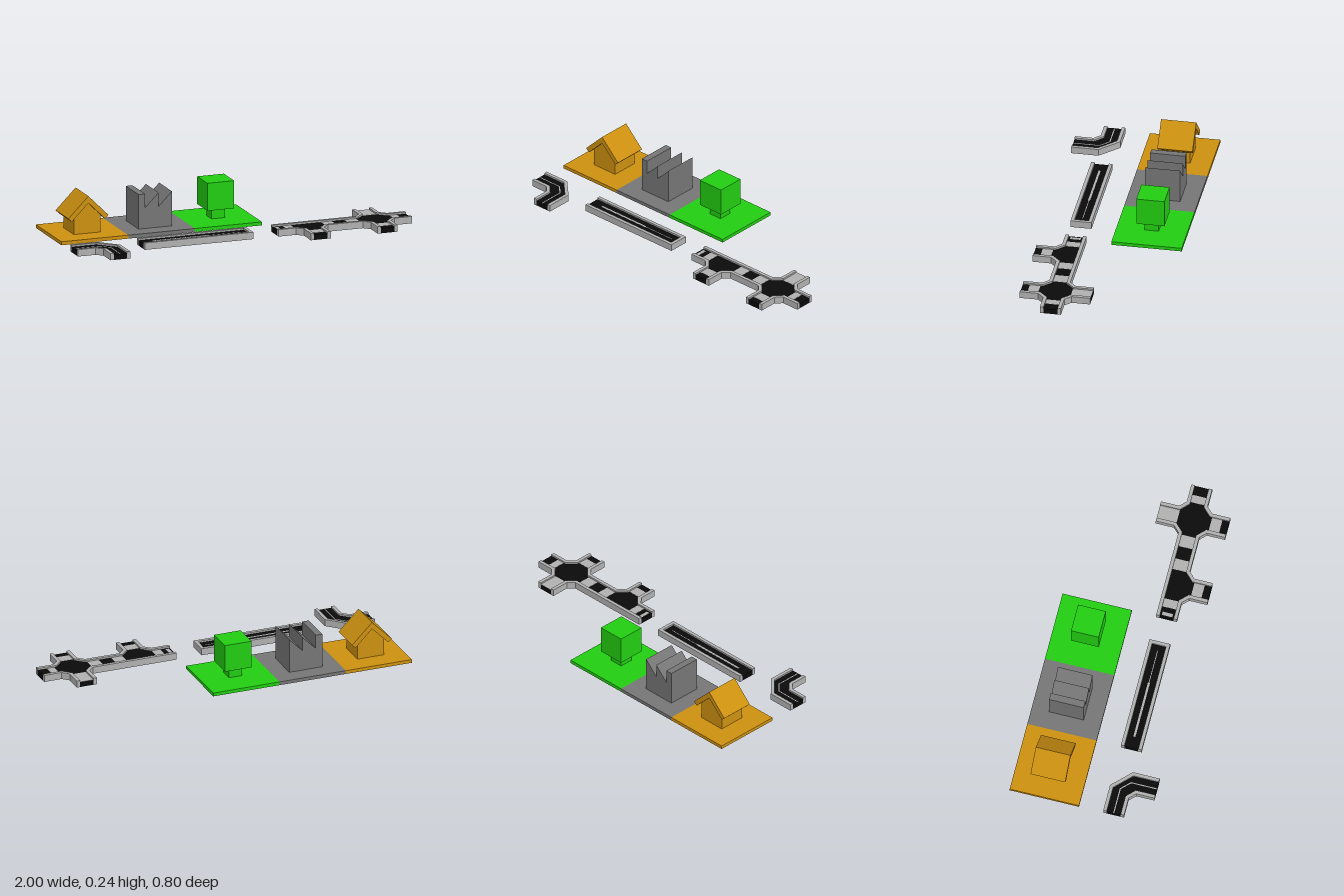
import * as THREE from 'three';

const mat = (name, color) => {
  const m = new THREE.MeshStandardMaterial({ color });
  m.name = name;
  return m;
};

export function createModel() {
  const ochre = mat('ochre', 0xcc9010);
  const grey = mat('factory grey', 0x757575);
  const green = mat('green', 0x22cc11);
  const concrete = mat('kerb concrete', 0xb0b0b0);
  const asphalt = mat('asphalt', 0x0a0a0a);

  const model = new THREE.Group();
  model.name = 'townTiles';
  const group = (name) => {
    const g = new THREE.Group();
    g.name = name;
    model.add(g);
    return g;
  };
  const add = (parent, name, geometry, material) => {
    const mesh = new THREE.Mesh(geometry, material);
    mesh.name = name;
    parent.add(mesh);
    return mesh;
  };
  // Box given by its lower and upper corners
  const box = (parent, name, material, [x0, y0, z0], [x1, y1, z1]) =>
    add(parent, name, new THREE.BoxGeometry(x1 - x0, y1 - y0, z1 - z0)
      .translate((x0 + x1) / 2, (y0 + y1) / 2, (z0 + z1) / 2), material);
  const outline = (points) => new THREE.Shape(points.map(([x, y]) => new THREE.Vector2(x, y)));
  // Front profile (x, y) pushed from z0 to z1
  const profile = (points, z0, z1) =>
    new THREE.ExtrudeGeometry(outline(points), { depth: z1 - z0, bevelEnabled: false }).translate(0, 0, z0);
  // Floor plan (x, z) raised from y0 to y1
  const plan = (points, y0, y1) =>
    new THREE.ExtrudeGeometry(outline(points), { depth: y1 - y0, bevelEnabled: false })
      .rotateX(Math.PI / 2).translate(0, y1, 0);

  // House tile
  const house = group('house');
  box(house, 'houseGround', ochre, [-1, 0, -0.4], [-0.6, 0.02, 0]);
  add(house, 'houseWalls', profile(
    [[-0.88, 0.02], [-0.72, 0.02], [-0.72, 0.12], [-0.8, 0.2], [-0.88, 0.12]], -0.28, -0.12), ochre);
  add(house, 'houseRoof', profile(
    [[-0.92, 0.12], [-0.9, 0.1], [-0.8, 0.2], [-0.7, 0.1], [-0.68, 0.12], [-0.8, 0.24]], -0.3, -0.1), ochre);

  // Factory tile with chimney block and sawtooth roof
  const factory = group('factory');
  box(factory, 'factoryGround', grey, [-0.6, 0, -0.4], [-0.2, 0.02, 0]);
  add(factory, 'factoryBuilding', profile(
    [[-0.5, 0.02], [-0.3, 0.02], [-0.3, 0.22], [-0.38, 0.14], [-0.38, 0.22],
      [-0.46, 0.14], [-0.46, 0.22], [-0.5, 0.22]], -0.3, -0.1), grey);

  // Tree tile
  const tree = group('tree');
  box(tree, 'treeGround', green, [-0.2, 0, -0.4], [0.2, 0.02, 0]);
  box(tree, 'treeTrunk', green, [-0.04, 0.02, -0.24], [0.04, 0.08, -0.16]);
  box(tree, 'treeCrown', green, [-0.08, 0.08, -0.28], [0.08, 0.24, -0.12]);

  // A road is a ring of kerbs; the kerbs' inner edges bound the carriageway
  const road = (name, cx, kerbs) => {
    const g = group(name);
    g.position.set(cx, 0, 0.2);
    kerbs.forEach(({ outer, inner }) =>
      add(g, 'kerb', plan([...outer, ...[...inner].reverse()], 0, 0.04), concrete));
    const inner = kerbs.flatMap((k) => k.inner);
    add(g, 'carriageway', plan(inner, 0.001, 0.03), asphalt);
    add(g, 'roadUnderside', plan(inner, 0, 0.001), concrete);
    return g;
  };
  // Chamfered kerb in one quadrant of a junction
  const corner = (sx, sz) => {
    const edge = (offset, bend) => {
      const pts = [[offset, 0.2], [offset, bend], [bend, offset], [0.2, offset]]
        .map(([x, z]) => [x * sx, z * sz]);
      return sx * sz < 0 ? pts.reverse() : pts;
    };
    return { outer: edge(0.06, 0.095), inner: edge(0.04, 0.087) };
  };

  const bend = road('roadBend', -0.8, [
    {
      outer: [[-0.2, -0.06], [-0.045, -0.06], [0.06, 0.045], [0.06, 0.2]],
      inner: [[-0.2, -0.04], [-0.053, -0.04], [0.04, 0.053], [0.04, 0.2]],
    },
    { outer: corner(-1, 1).outer.reverse(), inner: corner(-1, 1).inner.reverse() },
  ]);
  const straight = road('deadEndRoad', 0, [{
    outer: [[-0.6, -0.06], [0.05, -0.06], [0.05, 0.06], [-0.6, 0.06]],
    inner: [[-0.6, -0.04], [0.03, -0.04], [0.03, 0.04], [-0.6, 0.04]],
  }]);
  const tee = road('teeJunction', 0.4, [
    corner(1, 1),
    { outer: [[0.2, -0.06], [-0.2, -0.06]], inner: [[0.2, -0.04], [-0.2, -0.04]] },
    corner(-1, 1),
  ]);
  const cross = road('crossroads', 0.8, [corner(1, 1), corner(1, -1), corner(-1, -1), corner(-1, 1)]);

  // Pale road markings as thin plates
  const marking = (g, x0, x1, z0, z1) =>
    box(g, 'roadMarking', concrete, [x0, 0.03, z0], [x1, 0.031, z1]);
  add(bend, 'roadMarking', plan(
    [[-0.2, -0.003], [-0.048, -0.003], [0.003, 0.048], [0.003, 0.2],
      [-0.003, 0.2], [-0.003, 0.051], [-0.051, 0.003], [-0.2, 0.003]], 0.03, 0.031), concrete);
  marking(straight, -0.53, -0.2, -0.006, 0.006);
  marking(straight, -0.2, 0, -0.002, 0.002);
  [[-0.19, -0.17, -0.03, 0.03], [-0.14, -0.09, -0.04, 0.04], [0.09, 0.155, -0.04, 0.04],
    [-0.04, 0.04, 0.1, 0.16]].forEach((m) => marking(tee, ...m));
  [[-0.17, -0.1, -0.04, 0.04], [0.1, 0.145, -0.04, 0.04], [-0.04, 0.04, 0.1, 0.16],
    [-0.04, 0.04, -0.2, -0.085]].forEach((m) => marking(cross, ...m));

  return model;
}
